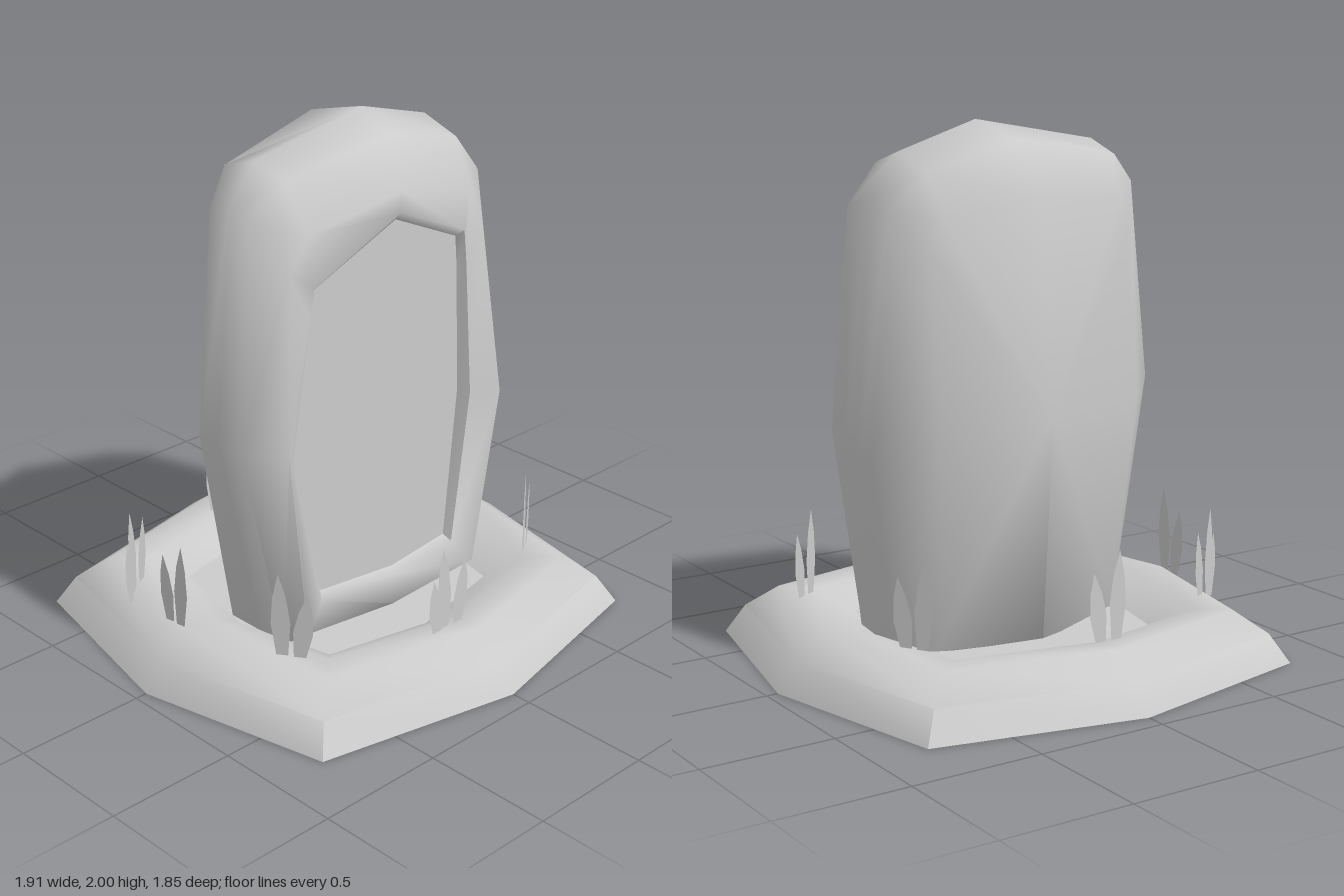
import * as THREE from 'three';
import { toCreasedNormals } from 'three/addons/utils/BufferGeometryUtils.js';

const stoneMat = new THREE.MeshStandardMaterial({ color: 0xcccccc });
const leafMat = new THREE.MeshStandardMaterial({ color: 0xcccccc, side: THREE.DoubleSide });

// Skin over a list of rings; rings run clockwise as seen from the first one.
// A cap is a single centre point closing the first or last ring.
function loft(rings, firstCap, lastCap, crease = 0.95) {
  const n = rings[0].length, verts = rings.flat(2), index = [];
  for (let i = 0; i < rings.length - 1; i++) {
    for (let j = 0; j < n; j++) {
      const a = i * n + j, b = i * n + (j + 1) % n;
      index.push(a, b, a + n, b, b + n, a + n);
    }
  }
  if (firstCap) {
    const c = verts.length / 3;
    verts.push(...firstCap);
    for (let j = 0; j < n; j++) index.push(c, (j + 1) % n, j);
  }
  if (lastCap) {
    const c = verts.length / 3, o = (rings.length - 1) * n;
    verts.push(...lastCap);
    for (let j = 0; j < n; j++) index.push(c, o + j, o + (j + 1) % n);
  }
  const g = new THREE.BufferGeometry();
  g.setAttribute('position', new THREE.Float32BufferAttribute(verts, 3));
  g.setIndex(index);
  return toCreasedNormals(g, crease);
}

function addMesh(parent, name, geometry, material = stoneMat) {
  const mesh = new THREE.Mesh(geometry, material);
  mesh.name = name;
  parent.add(mesh);
  return mesh;
}

// Eight-sided earth mound with a sunken bed
function addMound(group) {
  const plan = [[0, -0.925], [0.79, -0.755], [0.955, 0], [0.79, 0.755],
    [0, 0.925], [-0.79, 0.755], [-0.955, 0], [-0.79, -0.755]];
  const ring = (s, y) => plan.map(([x, z]) => [x * s, y, z * s]);
  const rings = [ring(0.525, 0.11), ring(0.67, 0.19), ring(0.8, 0.195), ring(0.925, 0.11), ring(1, 0)];
  addMesh(group, 'mound', loft(rings, null, [0, 0, 0]));
  addMesh(group, 'moundBed', loft([rings[0]], [0, 0.11, 0]));
}

// Upright stone: rings run from the front panel to the back. Point order in each:
// top, upper right, lower right shoulder, middle, foot, bottom, then up the other side
function addStone(group) {
  const panel = [[0, 1.66], [0.31, 1.52], [0.32, 1.4], [0.34, 0.9], [0.28, 0.31],
    [0, 0.28], [-0.37, 0.32], [-0.52, 0.9], [-0.42, 1.4], [-0.4, 1.5]];
  const floor = panel.map(([x, y]) => [x, y, 0.3]);
  const rim = panel.map(([x, y]) => [
    x * 1.05, 0.9 + (y - 0.9) * 1.04, 0.35 - 0.025 * Math.abs(y - 0.9) / 0.75]);
  const front = [[0.02, 1.76, 0.31], [0.38, 1.67, 0.3], [0.45, 1.55, 0.3], [0.53, 0.85, 0.345], [0.44, 0.14, 0.31],
    [0, 0.12, 0.31], [-0.43, 0.16, 0.3], [-0.57, 0.95, 0.36], [-0.5, 1.58, 0.3], [-0.42, 1.7, 0.3]];
  const frontShoulder = [[0.06, 1.94, 0.21], [0.41, 1.85, 0.2], [0.53, 1.7, 0.2], [0.61, 0.83, 0.1], [0.52, 0.1, 0.15],
    [0, 0.06, 0.2], [-0.48, 0.1, 0.22], [-0.71, 0.97, 0.27], [-0.56, 1.75, 0.15], [-0.43, 1.87, 0.19]];
  const crown = [[0.08, 2, 0.05], [0.42, 1.9, 0.03], [0.55, 1.74, 0.02], [0.615, 0.83, 0], [0.52, 0.1, 0],
    [0, 0.06, 0.05], [-0.48, 0.1, 0.1], [-0.71, 0.97, 0.15], [-0.57, 1.78, 0.07], [-0.43, 1.91, 0.04]];
  const backShoulder = [[0.06, 1.94, -0.19], [0.4, 1.84, -0.13], [0.53, 1.7, -0.1], [0.615, 0.83, -0.1], [0.52, 0.1, -0.1],
    [0, 0.06, -0.2], [-0.48, 0.1, -0.06], [-0.71, 0.97, 0.05], [-0.56, 1.75, -0.04], [-0.43, 1.86, -0.11]];
  const back = [[0.02, 1.74, -0.28], [0.38, 1.68, -0.22], [0.44, 1.56, -0.22], [0.46, 0.9, -0.31], [0.42, 0.12, -0.22],
    [0, 0.1, -0.28], [-0.4, 0.14, -0.16], [-0.48, 0.95, -0.2], [-0.45, 1.56, -0.16], [-0.4, 1.7, -0.18]];
  addMesh(group, 'standingStone',
    loft([floor, rim, front, frontShoulder, crown, backShoulder, back], null, [0, 0.95, -0.34], 1.1));
  addMesh(group, 'sunkenPanel', loft([floor], [-0.05, 0.9, 0.3]));
}

// Flat pointed grass blade
function bladeGeometry() {
  const s = new THREE.Shape();
  s.moveTo(-0.018, 0);
  [[-0.036, 0.45], [-0.024, 0.75], [0, 1], [0.024, 0.75], [0.036, 0.45], [0.018, 0]]
    .forEach(([x, y]) => s.lineTo(x, y));
  return new THREE.ShapeGeometry(s);
}

// Grass tufts: x, z, turn, number of blades
function addGrass(group) {
  const blade = bladeGeometry();
  const tufts = [
    [-0.07, 0.645, 0, 3], [-0.07, -0.635, 0, 2], [0.57, 0.46, 0.6, 2], [0.57, -0.36, -0.95, 2],
    [-0.71, -0.36, 0.5, 3], [-0.63, 0.38, -0.95, 2], [-0.76, -0.03, Math.PI / 2, 2],
  ];
  const blades = [[0, 0.36, 0.04], [0.06, 0.29, -0.12], [-0.045, 0.25, 0.1]];
  for (const [x, z, turn, count] of tufts) {
    const tuft = new THREE.Group();
    tuft.name = 'grassTuft';
    tuft.position.set(x, 0.16, z);
    tuft.rotation.y = turn;
    blades.slice(0, count).forEach(([dx, height, lean], i) => {
      const mesh = addMesh(tuft, 'grassBlade', blade, leafMat);
      mesh.position.set(dx, 0, i * 0.004);
      mesh.scale.y = height;
      mesh.rotation.z = lean;
    });
    group.add(tuft);
  }
}

export function createModel() {
  const group = new THREE.Group();
  group.name = 'standingStoneOnMound';
  addMound(group);
  addStone(group);
  addGrass(group);
  return group;
}
